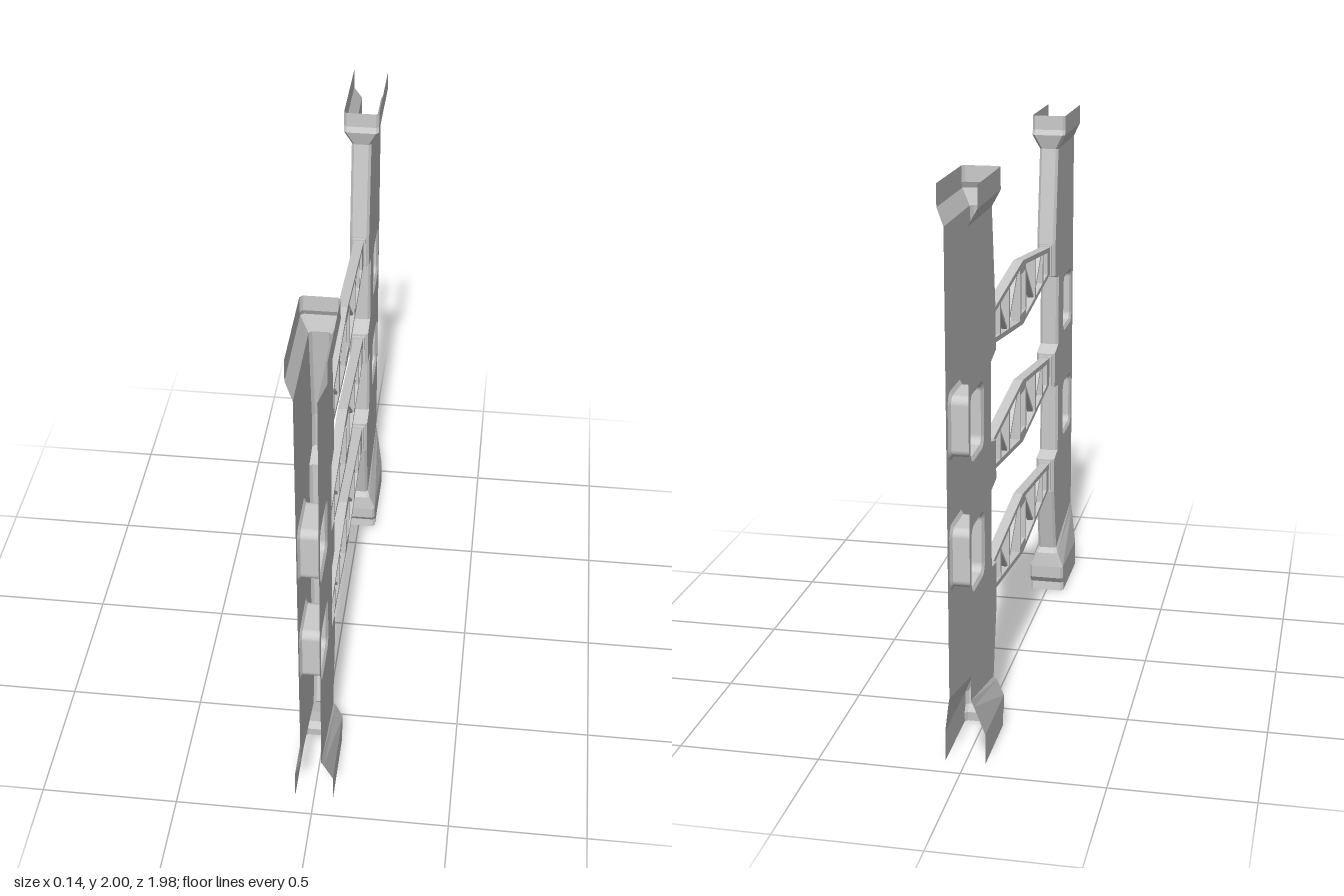
import * as THREE from 'three';

const metal = new THREE.MeshStandardMaterial({ color: 0xcccccc, flatShading: true, side: THREE.DoubleSide });
const HALF = 0.037;   // half thickness of a pylon
const BEVEL = 0.01;

// Inner edge of a pylon, top to bottom: [y, z, half width]
const innerEdge = [
  [2, 0.61, 0.065], [1.945, 0.61, 0.065], [1.925, 0.6, 0.065], [1.87, 0.615, HALF],
  [1.5, 0.562, HALF], [1.37, 0.562, HALF], [1.35, 0.642, HALF],
  [1.07, 0.642, HALF], [1.05, 0.562, HALF], [0.91, 0.562, HALF], [0.895, 0.642, HALF],
  [0.615, 0.642, HALF], [0.6, 0.562, HALF], [0.46, 0.562, HALF],
  [0.19, 0.62, HALF], [0.17, 0.604, 0.046], [0.11, 0.6, 0.07], [0.06, 0.602, 0.07],
  [0.035, 0.62, 0.07], [0, 0.616, 0.07],
];
// Outer edge where the plates flare: [y, z, half width]
const topOuter = [[2, 0.965, 0.065], [1.945, 0.965, 0.065], [1.925, 0.965, 0.065], [1.87, 0.99, HALF]];
const bottomOuter = [[0.27, 0.99, HALF], [0.24, 0.977, 0.044], [0.11, 0.92, 0.07],
  [0.06, 0.92, 0.07], [0.035, 0.92, 0.07], [0, 0.92, 0.07]];

function add(parent, geometry, name) {
  const mesh = new THREE.Mesh(geometry, metal);
  mesh.name = name;
  parent.add(mesh);
  return mesh;
}

// Surface joining rows of equal point counts
function sheet(rows) {
  const n = rows[0].length, index = [];
  for (let r = 0; r < rows.length - 1; r++) {
    for (let c = 0; c < n - 1; c++) {
      const a = r * n + c, b = a + n;
      index.push(a, b, a + 1, a + 1, b, b + 1);
    }
  }
  const g = new THREE.BufferGeometry();
  g.setAttribute('position', new THREE.Float32BufferAttribute(rows.flat(2), 3));
  g.setIndex(index);
  const flat = g.toNonIndexed();
  flat.computeVertexNormals();
  return flat;
}

// Rounded window outline in (z, y), grown by an offset
function windowPath(cy, grow) {
  const w = 0.0875 + grow, h = 0.103 + grow, r = 0.028 + grow, cz = 0.863;
  const p = new THREE.Path();
  p.absarc(cz + w - r, cy + h - r, r, 0, Math.PI / 2);
  p.absarc(cz - w + r, cy + h - r, r, Math.PI / 2, Math.PI);
  p.absarc(cz - w + r, cy - h + r, r, Math.PI, Math.PI * 1.5);
  p.absarc(cz + w - r, cy - h + r, r, Math.PI * 1.5, Math.PI * 2);
  p.closePath();
  return p;
}

function createPylon() {
  const pylon = new THREE.Group();
  const windows = [1.208, 0.755];

  // Wall joining the two plates along the inner edge
  add(pylon, sheet(innerEdge.map(([y, z, x]) => [
    [x, y, z + BEVEL], [x - BEVEL, y, z], [-x + BEVEL, y, z], [-x, y, z + BEVEL],
  ])), 'innerWall');

  // Flat middle plate outline with window openings
  const outline = innerEdge.slice(3, 15).map(([y, z]) => new THREE.Vector2(z + BEVEL, y));
  outline.push(new THREE.Vector2(0.99, 0.27), new THREE.Vector2(0.99, 1.87));
  const plate = new THREE.Shape(outline);
  windows.forEach((cy) => plate.holes.push(windowPath(cy, 0.014)));

  for (const s of [1, -1]) {
    const middle = new THREE.ShapeGeometry(plate, 6).rotateY(-Math.PI / 2);
    add(pylon, middle, 'sidePlate').position.x = s * HALF;
    // Flared collars above and below
    const strip = (inner, outer) => sheet(inner.map(([y, z, x], i) => [
      [s * x, y, z + BEVEL], [s * outer[i][2], outer[i][0], outer[i][1]],
    ]));
    add(pylon, strip(innerEdge.slice(0, 4), topOuter), 'topCollar');
    add(pylon, strip(innerEdge.slice(14), bottomOuter), 'bottomCollar');
  }

  // Window sleeves with chamfered rims
  for (const cy of windows) {
    const rows = [[HALF, 0.014], [0.029, 0], [-0.029, 0], [-HALF, 0.014]].map(([x, grow]) =>
      windowPath(cy, grow).getPoints(6).map((p) => [x, p.y, p.x]));
    add(pylon, sheet(rows), 'windowSleeve');
  }
  return pylon;
}

// Half height of a truss at distance z from its middle
const trussHeight = (z) => 0.12 - 0.117 * Math.abs(z);

function createTruss() {
  const truss = new THREE.Group();
  const end = 0.56, depth = 0.036, chord = 0.018;
  const polygon = (pts) => pts.map(([z, y]) => new THREE.Vector2(z, y));

  // Frame of chords and posts
  const he = trussHeight(end);
  const frame = new THREE.Shape(polygon([[-end, -he], [0, -0.12], [end, -he], [end, he], [0, 0.12], [-end, he]]));
  const panel = (a, b) => {
    const ha = trussHeight(a) - chord, hb = trussHeight(b) - chord;
    frame.holes.push(new THREE.Path(polygon([[a, -ha], [a, ha], [b, hb], [b, -hb]])));
  };
  frame.holes.push(new THREE.Path(polygon([[-0.042, -0.075], [-0.042, 0.075], [0.042, 0.075], [0.042, -0.075]])));
  for (const s of [1, -1]) {
    for (const [a, b] of [[0.057, 0.241], [0.259, 0.396], [0.412, 0.5]]) panel(s * a, s * b);
  }
  const g = new THREE.ExtrudeGeometry(frame, { depth, bevelEnabled: false });
  add(truss, g.translate(0, 0, -depth / 2).rotateY(-Math.PI / 2), 'trussFrame');

  // Diagonal braces and end mounts
  for (const s of [1, -1]) {
    for (const [z1, y1, z2, y2] of [[0.057, 0.1, 0.245, -0.077], [0.255, -0.074, 0.4, 0.06]]) {
      const dz = z2 - z1, dy = y2 - y1;
      const brace = add(truss, new THREE.BoxGeometry(0.022, 0.011, Math.hypot(dz, dy)), 'diagonalBrace');
      brace.position.set(0, (y1 + y2) / 2, s * (z1 + z2) / 2);
      brace.rotation.x = -s * Math.atan2(dy, dz);
    }
    add(truss, new THREE.BoxGeometry(0.05, 0.122, 0.014), 'trussMount').position.z = s * 0.558;
    add(truss, new THREE.BoxGeometry(0.04, 0.15, 0.014), 'centrePost').position.z = s * 0.05;
  }
  return truss;
}

export function createModel() {
  const model = new THREE.Group();
  model.name = 'trussedPylons';
  for (const [name, turn] of [['frontPylon', 0], ['backPylon', Math.PI]]) {
    const pylon = createPylon();
    pylon.name = name;
    pylon.rotation.y = turn;
    model.add(pylon);
  }
  [['upperTruss', 1.435], ['middleTruss', 0.98], ['lowerTruss', 0.53]].forEach(([name, y]) => {
    const truss = createTruss();
    truss.name = name;
    truss.position.y = y;
    model.add(truss);
  });
  return model;
}
